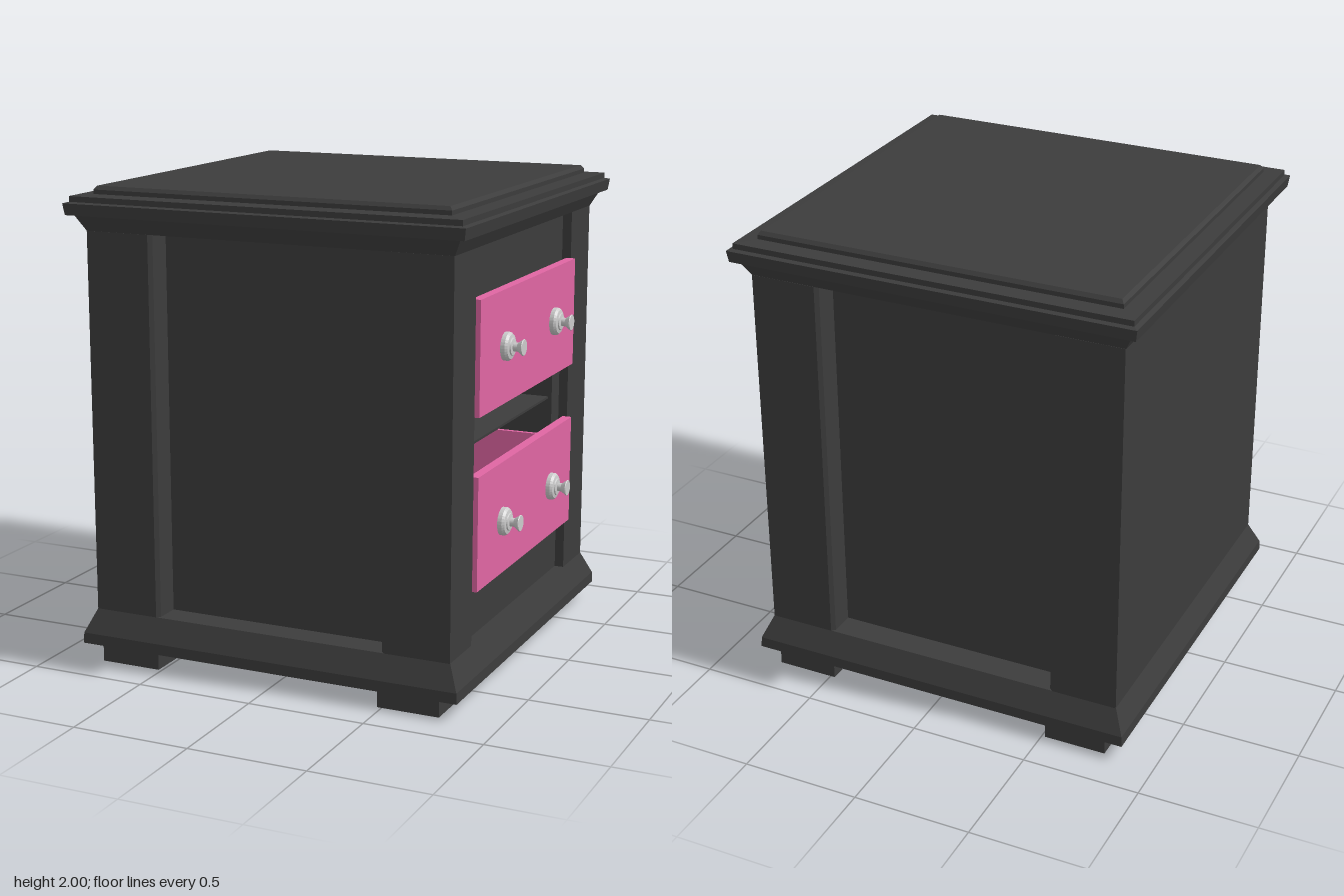
import * as THREE from 'three';

const dark = new THREE.MeshStandardMaterial({ color: 0x3c3c3c });
const pink = new THREE.MeshStandardMaterial({ color: 0xe066a3 });
const metal = new THREE.MeshStandardMaterial({ color: 0xcccccc });

function add(parent, name, geometry, material) {
  const mesh = new THREE.Mesh(geometry, material);
  mesh.name = name;
  parent.add(mesh);
  return mesh;
}

// box given by its extents on each axis
function box(parent, name, material, [x0, x1], [y0, y1], [z0, z1]) {
  const mesh = add(parent, name, new THREE.BoxGeometry(x1 - x0, y1 - y0, z1 - z0), material);
  mesh.position.set((x0 + x1) / 2, (y0 + y1) / 2, (z0 + z1) / 2);
  return mesh;
}

// square moulding swept from a [half width, height] profile, with flat faces
function squareMoulding(parent, name, profile) {
  const points = profile.map(([half, y]) => new THREE.Vector2(half * Math.SQRT2, y));
  const geometry = new THREE.LatheGeometry(points, 4, Math.PI / 4).toNonIndexed();
  geometry.computeVertexNormals();
  return add(parent, name, geometry, dark);
}

// vertical corner post with a small chamfer along the side panel
function cornerPost(parent, name, sx, sz, innerZ) {
  const outline = [[0.502, 0.66], [0.502, 0.785], [0.517, 0.8], [0.7975, 0.8],
    [0.7975, innerZ], [0.68, innerZ], [0.68, 0.66]];
  const shape = new THREE.Shape(outline.map(([x, z]) => new THREE.Vector2(x * sx, -z * sz)));
  const geometry = new THREE.ExtrudeGeometry(shape, { depth: 1.6, bevelEnabled: false });
  geometry.rotateX(-Math.PI / 2);
  add(parent, name, geometry, dark).position.y = 0.22;
}

function knob(parent, y, z) {
  const profile = [[0, 0], [0.058, 0], [0.058, 0.018], [0.05, 0.028], [0.036, 0.031],
    [0.034, 0.036], [0.018, 0.038], [0.018, 0.055], [0.034, 0.078], [0.032, 0.081], [0, 0.081]];
  const geometry = new THREE.LatheGeometry(profile.map(p => new THREE.Vector2(...p)), 28).toNonIndexed();
  geometry.computeVertexNormals();
  geometry.rotateZ(-Math.PI / 2);
  add(parent, 'knob', geometry, metal).position.set(0.8175, y, z);
}

// open-topped drawer with a front board and two knobs
function drawer(parent, name, y0, y1, knobY) {
  const group = new THREE.Group();
  group.name = name;
  parent.add(group);
  const low = y0 + 0.03, high = y1 - 0.06;
  box(group, 'drawerFront', pink, [0.7775, 0.8175], [y0, y1], [-0.558, 0.572]);
  box(group, 'drawerBottom', pink, [-0.65, 0.78], [low, low + 0.02], [-0.45, 0.464]);
  box(group, 'drawerBack', pink, [-0.65, -0.63], [low, high], [-0.45, 0.464]);
  box(group, 'drawerSide', pink, [-0.65, 0.78], [low, high], [-0.45, -0.43]);
  box(group, 'drawerSide', pink, [-0.65, 0.78], [low, high], [0.444, 0.464]);
  for (const z of [0.297, -0.29]) knob(group, knobY, z);
}

export function createModel() {
  const model = new THREE.Group();
  model.name = 'nightstand';
  const cabinet = new THREE.Group();
  cabinet.name = 'cabinet';
  cabinet.position.x = -0.0175;
  model.add(cabinet);

  // base and top mouldings
  squareMoulding(cabinet, 'base', [[0, 0.075], [0.845, 0.075], [0.843, 0.12], [0.7985, 0.22], [0, 0.22]]);
  squareMoulding(cabinet, 'top', [[0, 1.82], [0.7985, 1.82], [0.832, 1.883], [0.86, 1.887],
    [0.867, 1.935], [0.847, 1.94], [0.847, 1.963], [0.776, 1.967], [0.776, 1.985], [0.764, 2], [0, 2]]);

  // feet and corner posts
  for (const sx of [-1, 1]) {
    for (const sz of [-1, 1]) {
      const fx = [0.4975, 0.7625].map(v => v * sx).sort((a, b) => a - b);
      const fz = [0.458, 0.822].map(v => v * sz).sort((a, b) => a - b);
      box(cabinet, 'foot', dark, fx, [0, 0.08], fz);
      cornerPost(cabinet, 'cornerPost', sx, sz, sz > 0 ? 0.573 : 0.559);
    }
  }

  // carcass: recessed side panels, flush back, rails around the drawer bay
  box(cabinet, 'sidePanel', dark, [-0.75, 0.7575], [0.22, 1.82], [0.477, 0.68]);
  box(cabinet, 'sidePanel', dark, [-0.75, 0.7575], [0.22, 1.82], [-0.68, -0.463]);
  box(cabinet, 'backPanel', dark, [-0.7975, -0.72], [0.22, 1.82], [-0.7, 0.7]);
  box(cabinet, 'lowerRail', dark, [-0.75, 0.7575], [0.22, 0.43], [-0.47, 0.48]);
  box(cabinet, 'upperRail', dark, [-0.75, 0.7575], [1.6, 1.82], [-0.47, 0.48]);
  box(cabinet, 'shelf', dark, [-0.75, 0.74], [1.01, 1.02], [-0.47, 0.48]);

  drawer(cabinet, 'upperDrawer', 1.155, 1.62, 1.39);
  drawer(cabinet, 'lowerDrawer', 0.445, 0.915, 0.667);
  return model;
}
